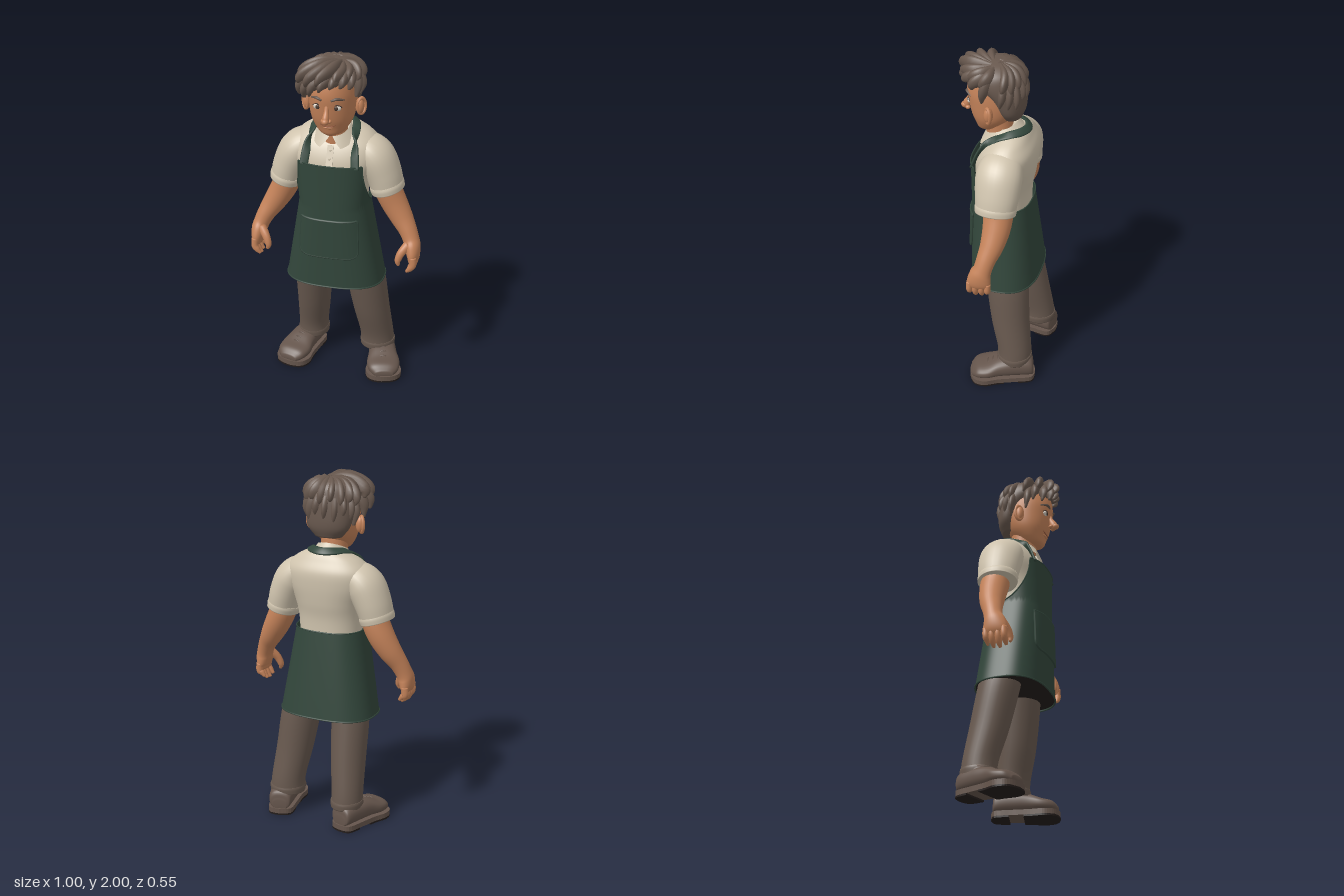
import * as THREE from 'three';
import { ParametricGeometry } from 'three/addons/geometries/ParametricGeometry.js';

const mat = (name, color, side = THREE.FrontSide) =>
  Object.assign(new THREE.MeshStandardMaterial({ color, side }), { name });
const V = (x, y, z) => new THREE.Vector3(x, y, z);
const Y = V(0, 1, 0), DOWN = V(0, -1, 0), Z = V(0, 0, 1);
const spow = (v, e) => Math.sign(v) * Math.abs(v) ** e;

// Sweeps an ellipse through [x, y, z, radiusA, radiusB] stations; a fixed axis, pointing along them, keeps the rings parallel
function sweep(st, { axis = null, ref = Z, n = 2, seg = 28, steps = 6 } = {}) {
  const path = new THREE.CatmullRomCurve3(st.map(s => V(s[0], s[1], s[2])), false, 'catmullrom');
  const radii = new THREE.CatmullRomCurve3(st.map(s => V(s[3], s[4], 0)), false, 'catmullrom');
  const rows = (st.length - 1) * steps, pos = [], idx = [];
  for (let i = 0; i <= rows; i++) {
    const c = path.getPoint(i / rows), r = radii.getPoint(i / rows);
    const t = axis || path.getTangent(i / rows);
    const a = ref.clone().cross(t).normalize(), b = t.clone().cross(a);
    for (let j = 0; j < seg; j++) {
      const th = (j / seg) * Math.PI * 2;
      const p = c.clone()
        .addScaledVector(a, Math.max(r.x, 0.001) * spow(Math.cos(th), 2 / n))
        .addScaledVector(b, Math.max(r.y, 0.001) * spow(Math.sin(th), 2 / n));
      pos.push(p.x, p.y, p.z);
      if (i < rows) {
        const k = (j + 1) % seg, q = i * seg;
        idx.push(q + j, q + k, q + seg + j, q + k, q + seg + k, q + seg + j);
      }
    }
  }
  const s0 = st[0], s1 = st[st.length - 1], m = pos.length / 3;
  pos.push(...s0.slice(0, 3), ...s1.slice(0, 3));
  for (let j = 0; j < seg; j++) {
    const k = (j + 1) % seg;
    idx.push(m, k, j, m + 1, rows * seg + j, rows * seg + k);
  }
  const g = new THREE.BufferGeometry();
  g.setAttribute('position', new THREE.Float32BufferAttribute(pos, 3));
  g.setIndex(idx);
  g.computeVertexNormals();
  return g;
}
const tube = (pts, r, closed = false, seg = 40) =>
  new THREE.TubeGeometry(new THREE.CatmullRomCurve3(pts, closed), seg, r, 6, closed);

// Apron cross-section by height: half width, half depth, centre z
const AN = 2.6;
function apronAt(y) {
  const k = THREE.MathUtils.clamp((y - 0.64) / 0.5, 0, 1), up = Math.max(0, y - 1.14);
  return { rx: 0.285 - 0.085 * k + up * 0.09, rz: 0.2 - 0.03 * k, cz: -0.015 + 0.03 * k };
}
function apronPoint(a, y) {
  const { rx, rz, cz } = apronAt(y);
  return V(rx * spow(Math.sin(a), 2 / AN), y, cz + rz * spow(Math.cos(a), 2 / AN));
}
const apronZ = (x, y) => {
  const { rx, rz, cz } = apronAt(y);
  return cz + rz * (1 - Math.abs(x / rx) ** AN) ** (1 / AN);
};
// Bib edge falls from the chest to the back waist
const apronTop = a => 1.4 - 0.26 * Math.sqrt(THREE.MathUtils.clamp((Math.abs(a) - 0.88) / 0.8, 0, 1));

export function createModel() {
  const root = new THREE.Group();
  root.name = 'aproned man';
  const D = THREE.DoubleSide;
  const M = {
    skin: mat('skin', 0xc5835a), hair: mat('hair', 0x68584e), shirt: mat('shirt cream', 0xd0c4ae, D),
    apron: mat('apron green', 0x32463b, D), trousers: mat('trouser brown', 0x68594f),
    shoe: mat('shoe brown', 0x65554c), sole: mat('dark underside', 0x241d1b),
    white: mat('eye white', 0xd8d0c4), dark: mat('eye brown', 0x4a3930), lip: mat('lip line', 0x95583d),
  };
  const add = (name, g, m, parent = root) => {
    const mesh = new THREE.Mesh(g, m);
    mesh.name = name;
    parent.add(mesh);
    return mesh;
  };
  const ball = (name, m, p, s) => {
    const b = add(name, new THREE.SphereGeometry(1, 20, 14), m);
    b.position.set(...p);
    b.scale.set(...s);
    return b;
  };

  // Shirt body, neck and head
  add('shirtBody', sweep([[0, 1.05, 0.01, 0.18, 0.15], [0, 1.2, 0.01, 0.188, 0.155], [0, 1.3, 0, 0.207, 0.163],
    [0, 1.4, -0.01, 0.248, 0.165], [0, 1.48, -0.025, 0.25, 0.148], [0, 1.54, -0.035, 0.2, 0.11],
    [0, 1.577, -0.045, 0.138, 0.078], [0, 1.6, -0.035, 0.085, 0.06]], { axis: Y, seg: 40, n: 2.3 }), M.shirt);
  add('neck', sweep([[0, 1.47, 0.03, 0.08, 0.075], [0, 1.55, 0.035, 0.075, 0.075], [0, 1.66, 0.045, 0.078, 0.078]], { axis: Y }), M.skin);
  add('head', sweep([[0, 1.568, 0.12, 0.025, 0.025], [0, 1.585, 0.1, 0.065, 0.06], [0, 1.62, 0.085, 0.095, 0.086],
    [0, 1.67, 0.07, 0.119, 0.12], [0, 1.74, 0.06, 0.13, 0.145], [0, 1.82, 0.06, 0.132, 0.154],
    [0, 1.9, 0.05, 0.12, 0.145], [0, 1.95, 0.05, 0.08, 0.1]], { axis: Y, seg: 40 }), M.skin);

  // Face
  add('nose', sweep([[0, 1.775, 0.194, 0.012, 0.01], [0, 1.73, 0.206, 0.014, 0.016], [0, 1.692, 0.224, 0.019, 0.022],
    [0, 1.67, 0.218, 0.012, 0.012]]), M.skin);
  ball('noseTip', M.skin, [0, 1.685, 0.233], [0.02, 0.018, 0.022]);
  add('mouth', tube([V(-0.045, 1.648, 0.169), V(-0.02, 1.637, 0.177), V(0.02, 1.637, 0.177), V(0.045, 1.648, 0.169)], 0.0035), M.lip);
  ball('lowerLip', M.skin, [0, 1.626, 0.166], [0.03, 0.009, 0.012]);
  for (const s of [1, -1]) {
    ball('nostril', M.skin, [s * 0.018, 1.68, 0.212], [0.012, 0.011, 0.014]);
    ball('eyeWhite', M.white, [s * 0.053, 1.752, 0.189], [0.024, 0.016, 0.012]);
    ball('iris', M.dark, [s * 0.051, 1.752, 0.198], [0.011, 0.013, 0.006]);
    add('upperLid', tube([V(s * 0.028, 1.757, 0.199), V(s * 0.053, 1.77, 0.196), V(s * 0.08, 1.756, 0.182)], 0.0035), M.dark);
    add('eyebrow', sweep([[s * 0.025, 1.796, 0.207, 0.007, 0.008], [s * 0.055, 1.806, 0.2, 0.008, 0.011],
      [s * 0.09, 1.796, 0.172, 0.004, 0.005]], { seg: 10 }), M.hair);
    ball('ear', M.skin, [s * 0.147, 1.725, 0.06], [0.024, 0.047, 0.025]).rotation.y = s * 0.5;
    const rim = add('earRim', new THREE.TorusGeometry(0.034, 0.01, 8, 24), M.skin);
    rim.scale.set(0.75, 1.25, 1);
    rim.position.set(s * 0.156, 1.726, 0.06);
    rim.rotation.y = s * 0.75;
  }

  // Hair: cap, then flat tapered locks swept from the crown, curling sideways
  const hair = new THREE.Group();
  hair.name = 'hair';
  root.add(hair);
  add('hairCap', sweep([[0, 1.665, -0.035, 0.08, 0.055], [0, 1.72, -0.035, 0.125, 0.074], [0, 1.8, -0.01, 0.142, 0.1],
    [0, 1.88, 0.04, 0.148, 0.142], [0, 1.94, 0.045, 0.128, 0.13], [-0.005, 1.975, 0.045, 0.085, 0.09],
    [-0.01, 1.99, 0.045, 0.03, 0.035]], { axis: Y, seg: 36 }), M.hair, hair);
  const lock = (crown, [x, y, z], w, midY, curl) => add('lock', sweep([[crown[0], crown[1], crown[2], w * 0.6, 0.014],
    [crown[0] * 0.4 + x * 0.6 + curl * z, midY, crown[2] * 0.4 + z * 0.62 - curl * x, w, 0.026],
    [x * 0.98 + curl * z * 0.6, y + (midY - y) * 0.5, z * 0.97 - curl * x * 0.6, w * 0.9, 0.022],
    [x, y, z, 0.008, 0.006]], { ref: V(-z, 0, x).normalize(), seg: 14 }), M.hair, hair);
  const part = [0.05, 1.955, 0.045], crown = [0.02, 1.965, 0.03];
  const fringe = [[-0.15, 1.76, 0.1], [-0.165, 1.8, 0.15], [-0.13, 1.8, 0.195], [-0.09, 1.82, 0.228], [-0.035, 1.85, 0.238],
    [0.02, 1.868, 0.228], [0.07, 1.868, 0.205], [0.11, 1.85, 0.16], [0.136, 1.79, 0.1]];
  fringe.forEach(p => lock(part, p, 0.036, 1.925, 0.12));
  const upper = [[-0.16, 1.87, 0.09], [-0.16, 1.86, 0.165], [-0.11, 1.87, 0.225], [-0.05, 1.885, 0.242], [0.03, 1.9, 0.215],
    [0.085, 1.895, 0.165], [0.128, 1.875, 0.1]];
  upper.forEach(p => lock(part, p, 0.042, p[0] < 0 ? 1.96 : 1.938, 0.16));
  for (let i = 0; i < 9; i++) {
    const a = -1.45 + i * 0.3625;
    lock(crown, [0.136 * Math.sin(a), 1.73 + (i % 3) * 0.022, 0.012 - 0.104 * Math.cos(a)], 0.042, 1.9, 0.15);
    if (i < 8) lock(crown, [0.138 * Math.sin(a + 0.18), 1.83 + (i % 2) * 0.025, 0.03 - 0.11 * Math.cos(a + 0.18)], 0.048, 1.935, 0.2);
  }

  // Collar, placket and buttons
  add('collar', new ParametricGeometry((u, v, p) => {
    const a = (u * 2 - 1) * (Math.PI - 0.1 - 0.4 * (1 - v)), f = (1 - Math.cos(a)) / 2;
    const r = 0.122 - 0.037 * v;
    const low = 1.592 - 0.107 * f, high = 1.634 - 0.08 * f;
    p.set(-Math.sin(a) * r, low + (high - low) * v, 0.022 - Math.cos(a) * (r + 0.005));
  }, 48, 6), M.shirt);
  const placket = add('placket', new THREE.BoxGeometry(0.036, 0.12, 0.008), M.shirt);
  placket.position.set(0, 1.445, 0.138);
  placket.rotation.x = -0.4;
  for (const y of [1.43, 1.475]) ball('button', M.shirt, [0, y, 0.149 - (y - 1.43) * 0.42], [0.007, 0.007, 0.004]);

  // Arms
  for (const s of [1, -1]) {
    const arm = new THREE.Group();
    arm.name = s > 0 ? 'leftArm' : 'rightArm';
    root.add(arm);
    const limb = (name, st, m, o) => add(name, sweep(st.map(p => [p[0] * s, ...p.slice(1)]), o), m, arm);
    limb('sleeve', [[0.12, 1.47, -0.03, 0.06, 0.09], [0.175, 1.45, -0.025, 0.09, 0.115], [0.225, 1.4, -0.02, 0.105, 0.128],
      [0.268, 1.31, -0.02, 0.1, 0.122], [0.295, 1.22, -0.018, 0.092, 0.11]], M.shirt);
    limb('sleeveCuff', [[0.285, 1.252, -0.018, 0.095, 0.114], [0.29, 1.235, -0.018, 0.098, 0.117], [0.297, 1.21, -0.018, 0.095, 0.114]], M.shirt);
    limb('forearm', [[0.28, 1.25, -0.03, 0.075, 0.082], [0.298, 1.19, -0.034, 0.077, 0.082], [0.332, 1.12, -0.032, 0.074, 0.076],
      [0.376, 1.045, -0.02, 0.065, 0.066], [0.417, 0.98, 0, 0.053, 0.055], [0.443, 0.925, 0.015, 0.047, 0.052],
      [0.455, 0.885, 0.027, 0.045, 0.062], [0.461, 0.84, 0.033, 0.036, 0.068], [0.457, 0.805, 0.033, 0.022, 0.06]], M.skin);
    [0.084, 0.05, 0.015, -0.019].forEach((z, i) => {
      const d = [0.01, 0, 0.004, 0.022][i];
      limb('finger', [[0.466, 0.845, z, 0.021, 0.018], [0.468, 0.8, z + 0.002, 0.021, 0.018],
        [0.454, 0.765 + d, z + 0.003, 0.018, 0.016], [0.433, 0.742 + d, z + 0.003, 0.008, 0.008]], M.skin, { seg: 12 });
    });
    limb('thumb', [[0.435, 0.91, 0.05, 0.028, 0.026], [0.4, 0.865, 0.078, 0.023, 0.022],
      [0.383, 0.82, 0.09, 0.018, 0.018], [0.388, 0.79, 0.093, 0.008, 0.008]], M.skin, { seg: 12 });
  }

  // Apron: wraparound skirt and bib in one sheet, with hems and a dark underside
  add('apronSheet', new ParametricGeometry((u, v, p) => {
    const a = (u * 2 - 1) * Math.PI;
    p.copy(apronPoint(a, 0.64 + (apronTop(a) - 0.64) * v));
  }, 144, 24), M.apron);
  const around = f => Array.from({ length: 96 }, (_, i) => f((i / 48 - 1) * Math.PI));
  add('apronHem', tube(around(a => apronPoint(a, 0.643)), 0.005, true, 144), M.apron);
  add('apronEdge', tube(around(a => apronPoint(a, apronTop(a))), 0.004, true, 192), M.apron);
  const under = new THREE.Shape(around(a => apronPoint(a, 0.65)).map(p => new THREE.Vector2(p.x, p.z)));
  add('apronUnderside', new THREE.ShapeGeometry(under).rotateX(Math.PI / 2).translate(0, 0.65, 0), M.sole);
  const half = [[0.145, 1.385, 0.157], [0.138, 1.455, 0.13], [0.13, 1.513, 0.09], [0.121, 1.562, 0.033], [0.106, 1.592, -0.04], [0.062, 1.598, -0.1]];
  add('neckStrap', sweep([...half.map(p => [-p[0], p[1], p[2], 0.024, 0.008]), [0, 1.598, -0.125, 0.024, 0.008],
    ...half.reverse().map(p => [...p, 0.024, 0.008])], { ref: V(0, 1, -1).normalize(), n: 3, seg: 16 }), M.apron);

  // Pocket with rounded lower corners
  const pocketPoint = (u, v) => {
    const c = Math.max(0, 1 - v / 0.2);
    const x = u * (0.17 - 0.01 * v - 0.045 * (1 - Math.sqrt(1 - c * c))), y = 0.84 + 0.23 * v;
    return V(x, y, apronZ(x, y) + 0.013);
  };
  add('pocket', new ParametricGeometry((u, v, p) => p.copy(pocketPoint(u * 2 - 1, v)), 24, 24), M.apron);
  const border = [];
  for (let i = 0; i < 16; i++) border.push(pocketPoint(1, 1 - i / 16));
  for (let i = 0; i < 16; i++) border.push(pocketPoint(1 - i / 8, 0));
  for (let i = 0; i < 16; i++) border.push(pocketPoint(-1, i / 16));
  for (let i = 0; i < 16; i++) border.push(pocketPoint(i / 8 - 1, 1));
  for (const p of border) p.z -= 0.006;
  add('pocketBorder', tube(border, 0.007, true, 128), M.apron);

  // Trousers
  const legs = {
    left: [[0.125, 0.8, -0.035, 0.105, 0.115], [0.163, 0.64, -0.052, 0.115, 0.123], [0.198, 0.4, -0.078, 0.108, 0.112],
      [0.225, 0.22, -0.11, 0.1, 0.1], [0.232, 0.13, -0.115, 0.102, 0.1]],
    right: [[-0.125, 0.8, -0.035, 0.105, 0.115], [-0.15, 0.64, -0.058, 0.107, 0.12], [-0.163, 0.4, -0.108, 0.099, 0.112],
      [-0.178, 0.22, -0.15, 0.09, 0.1], [-0.18, 0.13, -0.16, 0.091, 0.1]],
  };
  for (const [side, st] of Object.entries(legs)) {
    add(side + 'Leg', sweep(st, { axis: DOWN }), M.trousers);
    const [x, , z, ra, rb] = st[4];
    add(side + 'TrouserCuff', sweep([[x, 0.165, z, ra, rb], [x, 0.15, z, ra + 0.003, rb + 0.003], [x, 0.122, z, ra + 0.001, rb + 0.001]],
      { axis: DOWN }), M.trousers);
  }

  // Shoes
  const outline = [[0, -0.195], [0.065, -0.172], [0.08, -0.07], [0.09, 0.03], [0.106, 0.11], [0.08, 0.172], [0, 0.195]];
  const loop = new THREE.SplineCurve([...outline, ...outline.slice(1, -1).reverse().map(p => [-p[0], p[1]]), outline[0]]
    .map(p => new THREE.Vector2(...p))).getPoints(60);
  const slab = (top, depth, lo, hi) => {
    const pts = loop.slice(0, -1).filter(p => p.y >= lo && p.y <= hi);
    return new THREE.ExtrudeGeometry(new THREE.Shape(pts), { depth, bevelEnabled: false }).rotateX(Math.PI / 2).translate(0, top, 0);
  };
  for (const [name, x, z, yaw] of [['leftShoe', 0.277, -0.052, 0.27], ['rightShoe', -0.228, -0.08, -0.27]]) {
    const shoe = new THREE.Group();
    shoe.name = name;
    shoe.position.set(x, 0, z);
    shoe.rotation.y = yaw;
    root.add(shoe);
    add('upper', sweep([[-0.185, 0.03, 0.04], [-0.165, 0.058, 0.066], [-0.06, 0.064, 0.078], [0.02, 0.058, 0.085],
      [0.09, 0.044, 0.098], [0.15, 0.036, 0.086], [0.185, 0.02, 0.05]].map(([sz, ry, rx]) => [0, 0.03 + ry, sz, rx, ry]),
    { axis: Z, ref: Y, n: 2.4 }), M.shoe, shoe);
    add('ankle', sweep([[0, 0.08, -0.06, 0.07, 0.085], [0, 0.16, -0.075, 0.062, 0.07]], { axis: Y }), M.shoe, shoe);
    add('welt', slab(0.04, 0.03, -1, 1), M.shoe, shoe);
    add('frontTread', slab(0.011, 0.011, -0.02, 1), M.sole, shoe);
    add('heelTread', slab(0.011, 0.011, -1, -0.08), M.sole, shoe);
    for (const lz of [0.025, 0.055, 0.085]) {
      const h = 0.147 - (lz - 0.02) * 0.42;
      add('lace', tube([V(-0.045, h - 0.018, lz), V(0, h, lz), V(0.045, h - 0.018, lz)], 0.005, false, 12), M.shoe, shoe);
    }
  }
  return root;
}
